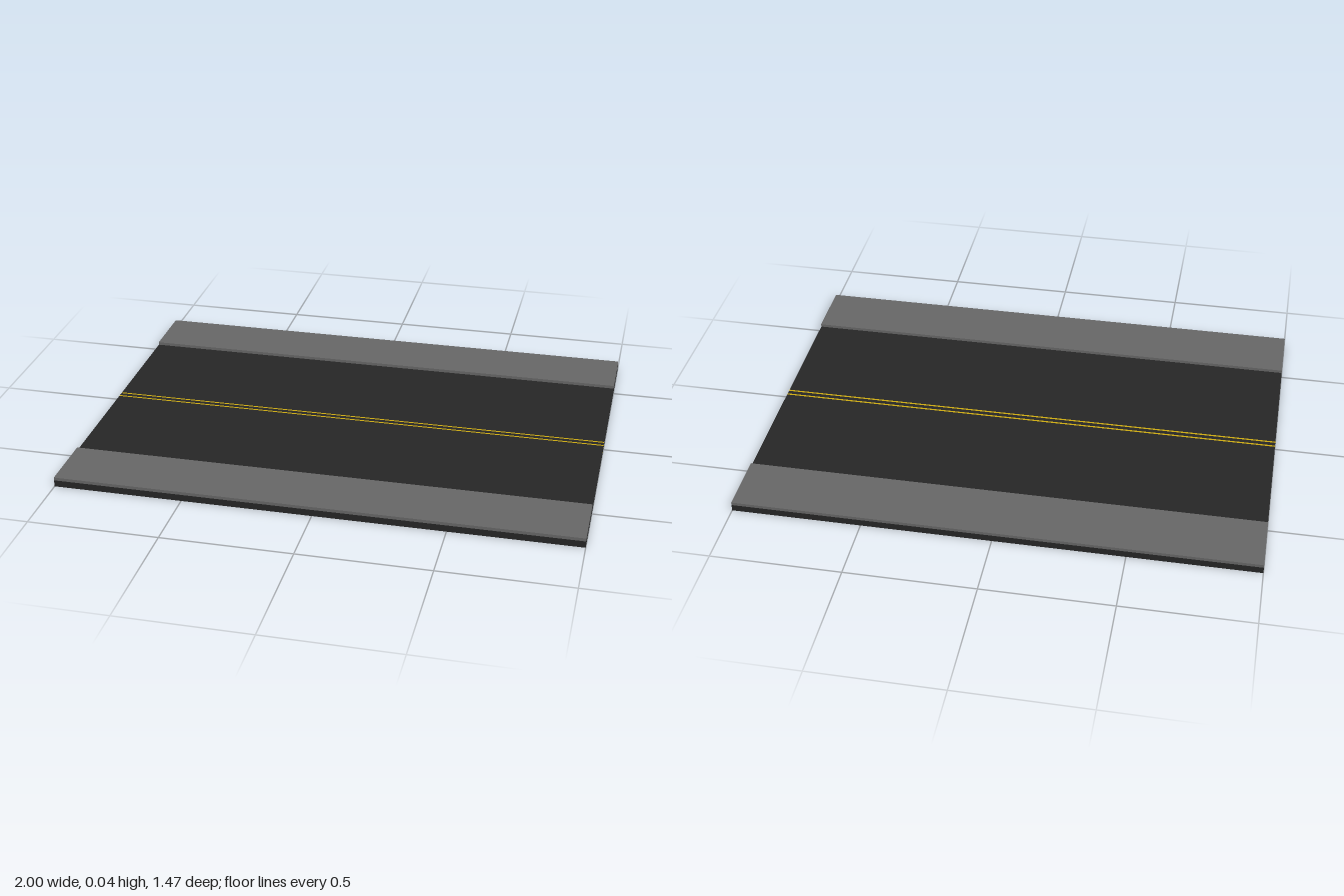
import * as THREE from 'three';

const LENGTH = 2, ROAD_TOP = 0.026, WALK_TOP = 0.038, HALF_WIDTH = 0.737, CURB = 0.495;

// Extrudes a cross-section of [z, y] corners along the road (x).
function strip(name, material, corners) {
  const shape = new THREE.Shape(corners.map(([z, y]) => new THREE.Vector2(-z, y)));
  const geometry = new THREE.ExtrudeGeometry(shape, { depth: LENGTH, bevelEnabled: false });
  geometry.translate(0, 0, -LENGTH / 2).rotateY(Math.PI / 2);
  const mesh = new THREE.Mesh(geometry, material);
  mesh.name = name;
  return mesh;
}

export function createModel() {
  const group = new THREE.Group();
  group.name = 'roadSection';
  const asphalt = new THREE.MeshStandardMaterial({ color: 0x262626 });
  const paint = new THREE.MeshStandardMaterial({ color: 0xccaa11 });
  const concrete = new THREE.MeshStandardMaterial({ color: 0x666666 });

  // Slab cut into lanes and inlaid lines: boundaries as [z at bottom, z at top]
  const cuts = [
    [-HALF_WIDTH, -HALF_WIDTH], [-0.016, -0.017], [-0.008, -0.009],
    [0.016, 0.009], [0.024, 0.017], [HALF_WIDTH, HALF_WIDTH],
  ];
  const names = ['rightLane', 'rightCentreLine', 'medianGap', 'leftCentreLine', 'leftLane'];
  names.forEach((name, i) => {
    const [b0, t0] = cuts[i], [b1, t1] = cuts[i + 1];
    group.add(strip(name, i % 2 ? paint : asphalt,
      [[b0, 0], [b1, 0], [t1, ROAD_TOP], [t0, ROAD_TOP]]));
  });

  // Raised sidewalks along both edges
  for (const side of [-1, 1]) {
    group.add(strip(side > 0 ? 'frontSidewalk' : 'backSidewalk', concrete, [
      [side * CURB, ROAD_TOP], [side * HALF_WIDTH, ROAD_TOP],
      [side * HALF_WIDTH, WALK_TOP], [side * CURB, WALK_TOP],
    ]));
  }
  return group;
}
